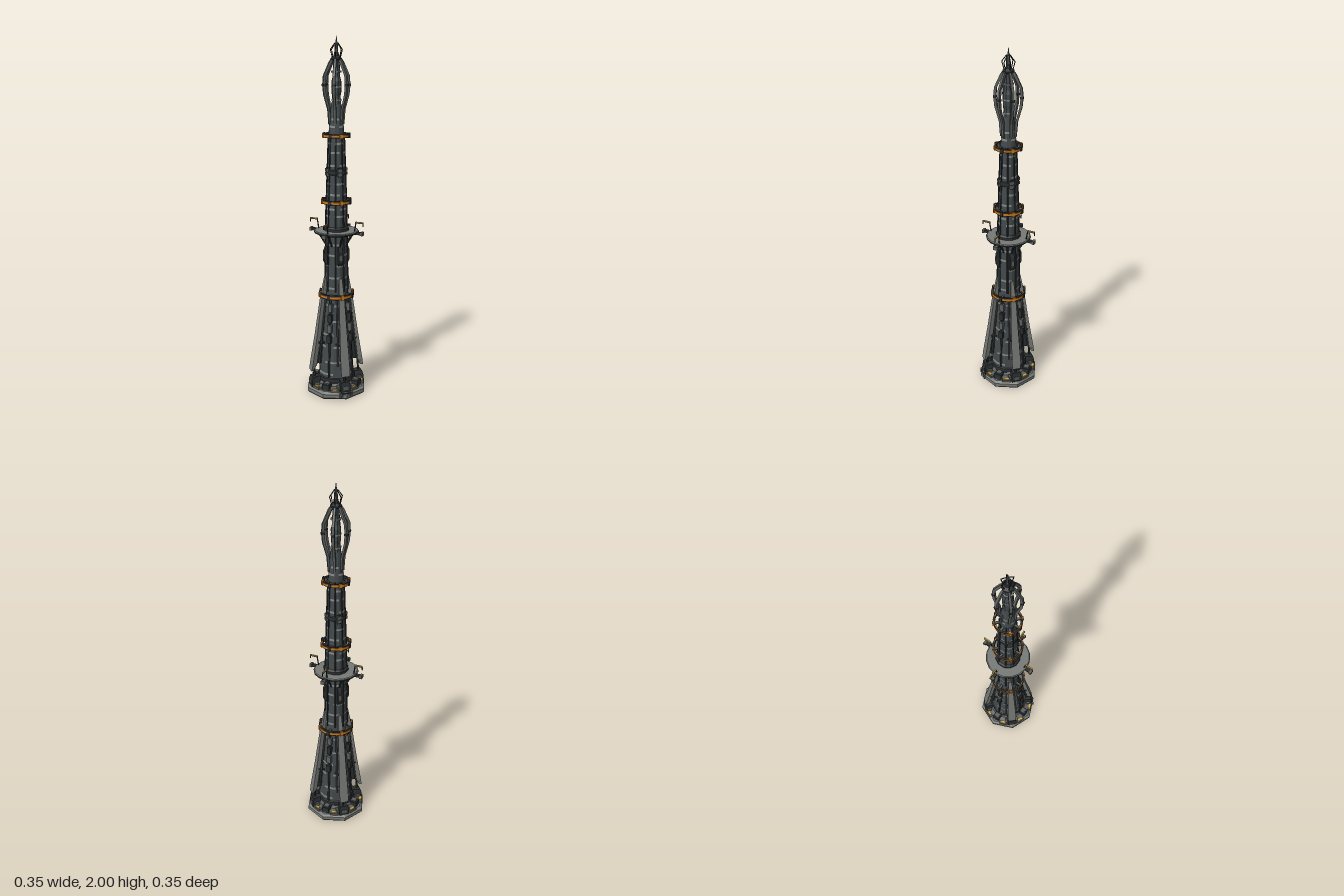
import * as THREE from 'three';

const mat = (name, color) => Object.assign(new THREE.MeshStandardMaterial({ color }), { name });
const C = {
  hull: mat('dark hull', 0x434a4c),
  dark: mat('near black', 0x2b2e2f),
  steel: mat('mid steel', 0x5b5f5e),
  light: mat('light steel', 0x858a87),
  base: mat('base grey', 0x777a77),
  orange: mat('orange', 0xcf7a1c),
  gold: mat('gold', 0xd6a436),
};

// Faceted normals
function flat(geo) {
  const g = geo.index ? geo.toNonIndexed() : geo;
  g.computeVertexNormals();
  return g;
}

function add(parent, name, geo, material, x = 0, y = 0, z = 0) {
  const m = new THREE.Mesh(geo, material);
  m.name = name;
  m.position.set(x, y, z);
  parent.add(m);
  return m;
}
const box = (p, name, w, h, d, m, x, y, z) => add(p, name, new THREE.BoxGeometry(w, h, d), m, x, y, z);

// Turned solid from [radius, y] pairs
const turned = (pts, sides) =>
  flat(new THREE.LatheGeometry(pts.map(([r, y]) => new THREE.Vector2(r, y)), sides));

// Solid through trapezoid sections [y, zIn, zOut, halfWidthIn, halfWidthOut]
function loft(sections) {
  const pos = [], idx = [];
  for (const [y, zi, zo, wi, wo] of sections) pos.push(-wi, y, zi, -wo, y, zo, wo, y, zo, wi, y, zi);
  const n = sections.length;
  for (let s = 0; s < n - 1; s++) {
    for (let k = 0; k < 4; k++) {
      const a = s * 4 + k, b = s * 4 + (k + 1) % 4;
      idx.push(a, b, b + 4, a, b + 4, a + 4);
    }
  }
  const t = (n - 1) * 4;
  idx.push(0, 2, 1, 0, 3, 2, t, t + 1, t + 2, t, t + 2, t + 3);
  const g = new THREE.BufferGeometry();
  g.setAttribute('position', new THREE.Float32BufferAttribute(pos, 3));
  g.setIndex(idx);
  return flat(g);
}

// Straight rod between two points
function rod(p, name, a, b, r, m) {
  const va = new THREE.Vector3(...a), d = new THREE.Vector3(...b).sub(va);
  const mesh = add(p, name, new THREE.CylinderGeometry(r, r, d.length(), 5), m);
  mesh.position.copy(va).addScaledVector(d, 0.5);
  mesh.quaternion.setFromUnitVectors(new THREE.Vector3(0, 1, 0), d.normalize());
}

// Repeat a part around the axis; each copy is built facing +z
function around(root, name, count, start, build) {
  for (let i = 0; i < count; i++) {
    const g = new THREE.Group();
    g.name = name;
    g.rotation.y = start + (i / count) * Math.PI * 2;
    build(g, i);
    root.add(g);
  }
}

// Core outline and its radius at any height
const CORE = [[0.105, 0.05], [0.098, 0.16], [0.088, 0.3], [0.07, 0.5], [0.064, 0.6], [0.06, 0.9],
  [0.056, 1.1], [0.048, 1.3], [0.043, 1.48], [0.036, 1.58], [0.028, 1.64]];
function coreR(y) {
  const i = Math.max(1, CORE.findIndex(p => p[1] >= y));
  const [r0, y0] = CORE[i - 1], [r1, y1] = CORE[i];
  return r0 + (r1 - r0) * (y - y0) / (y1 - y0);
}

export function createModel() {
  const root = new THREE.Group();
  root.name = 'tower';
  const Q = Math.PI / 4;

  // Octagonal foundation
  add(root, 'foundation', turned([[0, 0], [0.168, 0], [0.175, 0.008], [0.175, 0.028], [0.16, 0.04], [0, 0.04]], 8), C.base);
  add(root, 'plinth', turned([[0.148, 0.04], [0.146, 0.05], [0.122, 0.056], [0.11, 0.075], [0, 0.075]], 8), C.steel);
  box(root, 'frontStep', 0.066, 0.022, 0.014, C.dark, 0, 0.025, 0.161);
  for (const s of [-1, 1]) box(root, 'stepPost', 0.012, 0.028, 0.008, C.steel, s * 0.034, 0.024, 0.164);

  // Pods below the buttresses, hazard plates and corner machinery
  around(root, 'footPod', 4, 0, g => {
    add(g, 'pod', loft([[0.038, 0.1, 0.157, 0.026, 0.03], [0.07, 0.1, 0.157, 0.022, 0.029], [0.095, 0.105, 0.15, 0.016, 0.025]]), C.dark);
    box(g, 'podPanel', 0.03, 0.02, 0.004, C.steel, 0, 0.062, 0.157);
    rod(g, 'footRod', [0, 0.09, 0.135], [0, 0.19, 0.13], 0.006, C.dark);
    for (const s of [-1, 1]) box(g, 'podClamp', 0.012, 0.03, 0.03, C.steel, s * 0.035, 0.053, 0.13);
  });
  around(root, 'hazardPlate', 8, Q / 2, g => {
    box(g, 'plateBed', 0.05, 0.012, 0.026, C.steel, 0, 0.046, 0.145);
    box(g, 'hazardMark', 0.028, 0.006, 0.012, C.gold, 0, 0.054, 0.147);
  });
  around(root, 'cornerMachinery', 4, Q, g => {
    box(g, 'machineBlock', 0.045, 0.035, 0.04, C.dark, 0, 0.056, 0.125);
    box(g, 'machineLid', 0.03, 0.008, 0.03, C.steel, 0, 0.077, 0.122);
  });

  // Tapered core with a broken pattern of light panel bands
  add(root, 'core', turned(CORE, 12), C.hull);
  const bands = [0.12, 0.19, 0.28, 0.35, 0.43, 0.52, 0.62, 0.68, 0.75, 0.81, 0.87, 1.03, 1.07, 1.15, 1.21, 1.31, 1.38, 1.43, 1.52, 1.56];
  bands.forEach((y, k) => {
    const h = 0.011, lo = coreR(y - h / 2) + 0.0015, hi = coreR(y + h / 2) + 0.0015;
    for (let i = 0; i < 4; i++) {
      const start = (i * 3 + (k % 3)) * Math.PI / 6;
      add(root, 'panelBand', flat(new THREE.CylinderGeometry(hi, lo, h, 2, 1, true, start, Math.PI / 3)), C.light, 0, y, 0);
    }
  });
  add(root, 'skirtCollar', turned([[0.106, 0.07], [0.11, 0.075], [0.108, 0.095], [0.1, 0.1]], 12), C.dark);

  // Four long buttresses
  around(root, 'buttress', 4, 0, g => {
    add(g, 'buttressShell', loft([[0.13, 0.142, 0.157, 0.012, 0.024], [0.165, 0.125, 0.152, 0.02, 0.027],
      [0.35, 0.098, 0.122, 0.016, 0.022], [0.56, 0.07, 0.092, 0.012, 0.016], [0.68, 0.056, 0.07, 0.006, 0.009]]), C.base);
    add(g, 'buttressSpine', loft([[0.17, 0.09, 0.13, 0.01, 0.01], [0.4, 0.07, 0.1, 0.009, 0.009], [0.6, 0.056, 0.075, 0.008, 0.008]]), C.dark);
    for (const s of [-1, 1]) {
      rod(g, 'buttressPipe', [s * 0.032, 0.18, 0.115], [s * 0.022, 0.57, 0.07], 0.005, C.steel);
      rod(g, 'buttressBrace', [s * 0.03, 0.3, 0.08], [s * 0.018, 0.3, 0.115], 0.005, C.dark);
    }
  });

  // Diagonal service stacks against the lower core
  around(root, 'serviceStack', 4, Q, g => {
    for (let i = 0; i < 4; i++) {
      const y = 0.33 + i * 0.06;
      box(g, 'serviceUnit', 0.024, 0.045, 0.024, i % 2 ? C.steel : C.dark, 0, y, coreR(y) + 0.006);
    }
    rod(g, 'servicePipe', [0, 0.1, 0.1], [0, 0.56, 0.073], 0.006, C.dark);
  });

  // Vertical conduits and attached equipment
  around(root, 'conduit', 8, Q / 2, g => {
    rod(g, 'upperConduit', [0, 0.6, 0.064], [0, 1.1, 0.056], 0.005, C.dark);
    rod(g, 'topConduit', [0, 1.1, 0.056], [0, 1.48, 0.043], 0.004, C.dark);
  });
  around(root, 'equipment', 4, 0, g => {
    add(g, 'midHousing', loft([[0.75, 0.05, 0.062, 0.014, 0.012], [0.77, 0.05, 0.074, 0.014, 0.012],
      [0.83, 0.05, 0.074, 0.014, 0.012], [0.86, 0.05, 0.062, 0.014, 0.012]]), C.dark);
    box(g, 'midHousingPlate', 0.016, 0.03, 0.004, C.steel, 0, 0.8, 0.074);
    for (const y of [1.262, 1.284]) box(g, 'highHousing', 0.026, 0.016, 0.02, C.steel, 0, y, 0.051);
    box(g, 'highHousingCore', 0.018, 0.05, 0.016, C.dark, 0, 1.273, 0.049);
  });
  add(root, 'highCollar', turned([[0.049, 1.258], [0.054, 1.262], [0.054, 1.284], [0.048, 1.288]], 12), C.dark);

  // Lit hoops, held off the core by spokes
  for (const [y, r, h] of [[0.577, 0.101, 0.024], [1.11, 0.085, 0.022], [1.472, 0.077, 0.02]]) {
    const a = h / 2, w = 0.013;
    add(root, 'hoop', turned([[r - w, y - a], [r - 0.003, y - a], [r - 0.003, y + a], [r - w, y + a], [r - w, y - a]], 24), C.dark);
    add(root, 'hoopGlow', turned([[r - 0.003, y - a * 0.55], [r - 0.001, y - a * 0.55], [r - 0.001, y + a * 0.45], [r - 0.003, y + a * 0.45]], 24), C.orange);
    around(root, 'hoopSpokes', 8, 0, (g, i) => {
      box(g, 'hoopSpoke', 0.012, h * 0.6, r - 0.045, C.steel, 0, y, (r + 0.035) / 2);
      box(g, 'hoopClamp', 0.016, h * 1.15, 0.006, i % 2 ? C.dark : C.orange, 0, y, r - 0.001);
    });
    around(root, 'hoopTopLights', 6, Q / 2, g => box(g, 'hoopTopLight', 0.022, 0.004, 0.004, C.orange, 0, y + a, r - 0.009));
  }

  // Observation deck with underside braces
  add(root, 'deck', turned([[0.05, 0.925], [0.112, 0.928], [0.125, 0.934], [0.125, 0.942]], 16), C.dark);
  add(root, 'deckFloor', turned([[0.125, 0.942], [0.12, 0.946], [0.05, 0.946]], 16), C.base);
  add(root, 'deckCollar', turned([[0.07, 0.946], [0.07, 0.96], [0.058, 0.97]], 12), C.dark);
  around(root, 'deckBrace', 8, 0, g => rod(g, 'brace', [0, 0.862, 0.058], [0, 0.93, 0.1], 0.005, C.dark));

  // Outrigger arms with lamp masts
  around(root, 'outrigger', 4, Q, g => {
    box(g, 'outriggerArm', 0.018, 0.014, 0.05, C.dark, 0, 0.937, 0.136);
    box(g, 'outriggerHead', 0.026, 0.02, 0.014, C.steel, 0, 0.937, 0.155);
    rod(g, 'mast', [0, 0.945, 0.11], [0, 0.993, 0.118], 0.0035, C.dark);
    box(g, 'lampBar', 0.007, 0.006, 0.046, C.steel, 0, 0.996, 0.139);
    box(g, 'lampStrip', 0.007, 0.003, 0.046, C.gold, 0, 1.0005, 0.139);
    rod(g, 'lampDrop', [0, 0.995, 0.161], [0, 0.978, 0.161], 0.003, C.dark);
  });

  // Open crown: slim inner shaft inside six bowed ribs
  add(root, 'crownShaft', turned([[0.03, 1.6], [0.024, 1.68], [0.028, 1.7], [0.028, 1.76], [0.022, 1.78], [0.018, 1.87]], 8), C.hull);
  for (const y of [1.66, 1.73, 1.81]) add(root, 'crownBand', flat(new THREE.CylinderGeometry(0.029, 0.029, 0.008, 8)), C.light, 0, y, 0);
  around(root, 'crownRib', 6, Math.PI / 6, g => {
    add(g, 'rib', loft([[1.53, 0.034, 0.044, 0.006, 0.006], [1.61, 0.038, 0.05, 0.007, 0.007], [1.69, 0.059, 0.073, 0.007, 0.007],
      [1.74, 0.064, 0.078, 0.007, 0.007], [1.79, 0.06, 0.074, 0.007, 0.007], [1.86, 0.024, 0.042, 0.006, 0.006], [1.875, 0.012, 0.032, 0.005, 0.005]]), C.steel);
    box(g, 'ribStrap', 0.017, 0.012, 0.017, C.dark, 0, 1.74, 0.071);
  });

  // Cap, finial cage and needle
  add(root, 'cap', turned([[0.02, 1.865], [0.032, 1.872], [0.032, 1.88], [0.016, 1.892], [0.012, 1.91], [0, 1.915]], 8), C.dark);
  add(root, 'needle', turned([[0.01, 1.9], [0.009, 1.95], [0.005, 1.965], [0, 2]], 8), C.steel);
  around(root, 'finialCage', 6, Math.PI / 6, g => {
    rod(g, 'cageLower', [0, 1.88, 0.022], [0, 1.925, 0.034], 0.0025, C.dark);
    rod(g, 'cageUpper', [0, 1.925, 0.034], [0, 1.958, 0.009], 0.0025, C.dark);
  });
  return root;
}
